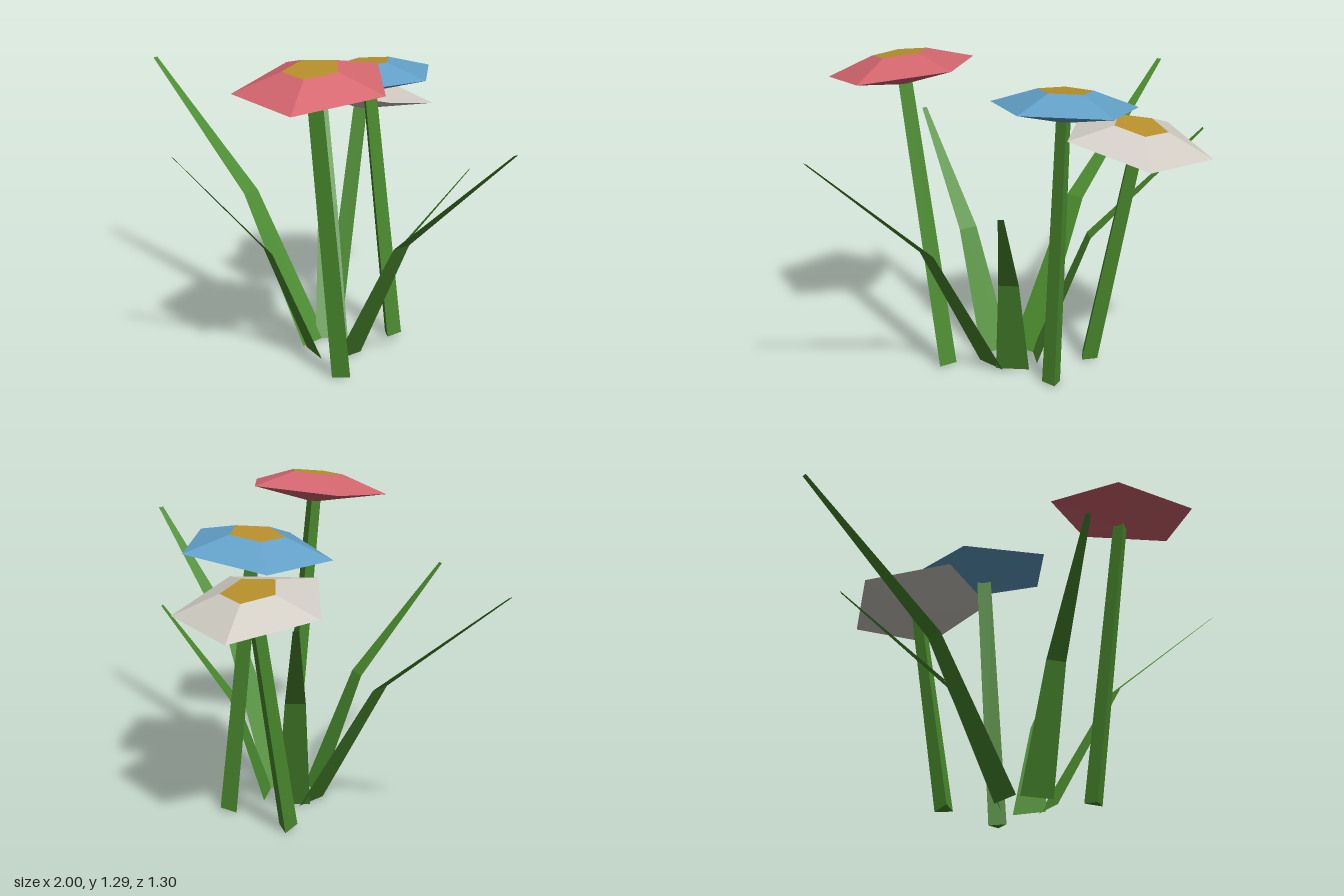
import * as THREE from 'three';

const material = (color) => new THREE.MeshStandardMaterial({ color, flatShading: true, side: THREE.DoubleSide });
const green = material(0x4a8a2e);
const gold = material(0xb8902c);
const UP = new THREE.Vector3(0, 1, 0);
const rad = THREE.MathUtils.degToRad;

function add(parent, name, geometry, mat) {
  const mesh = new THREE.Mesh(geometry, mat);
  mesh.name = name;
  parent.add(mesh);
  return mesh;
}

// Three-sided stem with a five-sided head, leaning from base to tip
function flower(name, base, tip, headTurn, stemTurn, color) {
  const group = new THREE.Group();
  group.name = name;
  const from = new THREE.Vector3(...base);
  const lean = new THREE.Vector3(...tip).sub(from);
  const length = lean.length();
  group.position.copy(from);
  group.quaternion.setFromUnitVectors(UP, lean.normalize());

  const stem = add(group, 'stem', new THREE.CylinderGeometry(0.033, 0.042, length + 0.015, 3), green);
  stem.position.y = (length + 0.015) / 2;
  stem.rotation.y = rad(stemTurn);

  const head = new THREE.Group();
  head.name = 'flowerHead';
  head.position.y = length + 0.058;
  head.rotation.y = rad(headTurn);
  group.add(head);
  const petals = material(color);
  add(head, 'petals', new THREE.CylinderGeometry(0.112, 0.3, 0.065, 5, 1, true).translate(0, 0.0325, 0), petals);
  add(head, 'petalUnderside',
    new THREE.CylinderGeometry(0.3, 0, 0.058, 5, 1, true).translate(0, -0.029, 0), petals);
  add(head, 'flowerCentre',
    new THREE.CircleGeometry(0.112, 5, -Math.PI / 2).rotateX(-Math.PI / 2).translate(0, 0.065, 0), gold);
  return group;
}

// Flat tapering blade through base, bend and tip, as wide strips across its lean
function leaf(name, points) {
  const widths = [0.134, 0.08, 0.022];
  const [start, , end] = points;
  const across = new THREE.Vector3(end[2] - start[2], 0, start[0] - end[0]).normalize();
  const positions = [];
  points.forEach((p, i) => {
    for (const side of [-0.5, 0.5]) {
      const v = new THREE.Vector3(...p).addScaledVector(across, side * widths[i]);
      positions.push(v.x, v.y, v.z);
    }
  });
  const index = [];
  for (let i = 0; i < points.length - 1; i++) {
    const a = i * 2;
    index.push(a, a + 1, a + 3, a, a + 3, a + 2);
  }
  const geometry = new THREE.BufferGeometry();
  geometry.setAttribute('position', new THREE.Float32BufferAttribute(positions, 3));
  geometry.setIndex(index);
  geometry.computeVertexNormals();
  const mesh = new THREE.Mesh(geometry, green);
  mesh.name = name;
  return mesh;
}

export function createModel() {
  const model = new THREE.Group();
  model.name = 'flowers';

  model.add(
    flower('pinkFlower', [0.265, 0.013, 0.1], [0.32, 1.155, 0.265], 182, -15, 0xd4666f),
    flower('blueFlower', [0.06, 0.013, -0.315], [-0.04, 1.045, -0.258], 174, 30, 0x62a0c8),
    flower('whiteFlower', [-0.215, 0.013, -0.225], [-0.272, 0.907, -0.4], 2, -15, 0xd0ccc4),
  );

  // Ring of blades around the middle
  model.add(
    leaf('leftLeaf', [[0.135, 0.012, -0.03], [0.455, 0.57, -0.035], [1, 1.05, -0.08]]),
    leaf('rightLeaf', [[-0.065, 0.012, -0.007], [-0.41, 0.59, 0.07], [-1, 1.075, 0.17]]),
    leaf('frontLeaf', [[0.033, 0.012, 0.065], [0.008, 0.49, 0.27], [-0.06, 0.92, 0.645]]),
    leaf('backRightLeaf', [[-0.05, 0.012, -0.085], [-0.235, 0.53, -0.2], [-0.61, 0.963, -0.45]]),
    leaf('backLeftLeaf', [[0.095, 0.012, -0.115], [0.2, 0.43, -0.215], [0.405, 0.8, -0.413]]),
  );
  return model;
}
